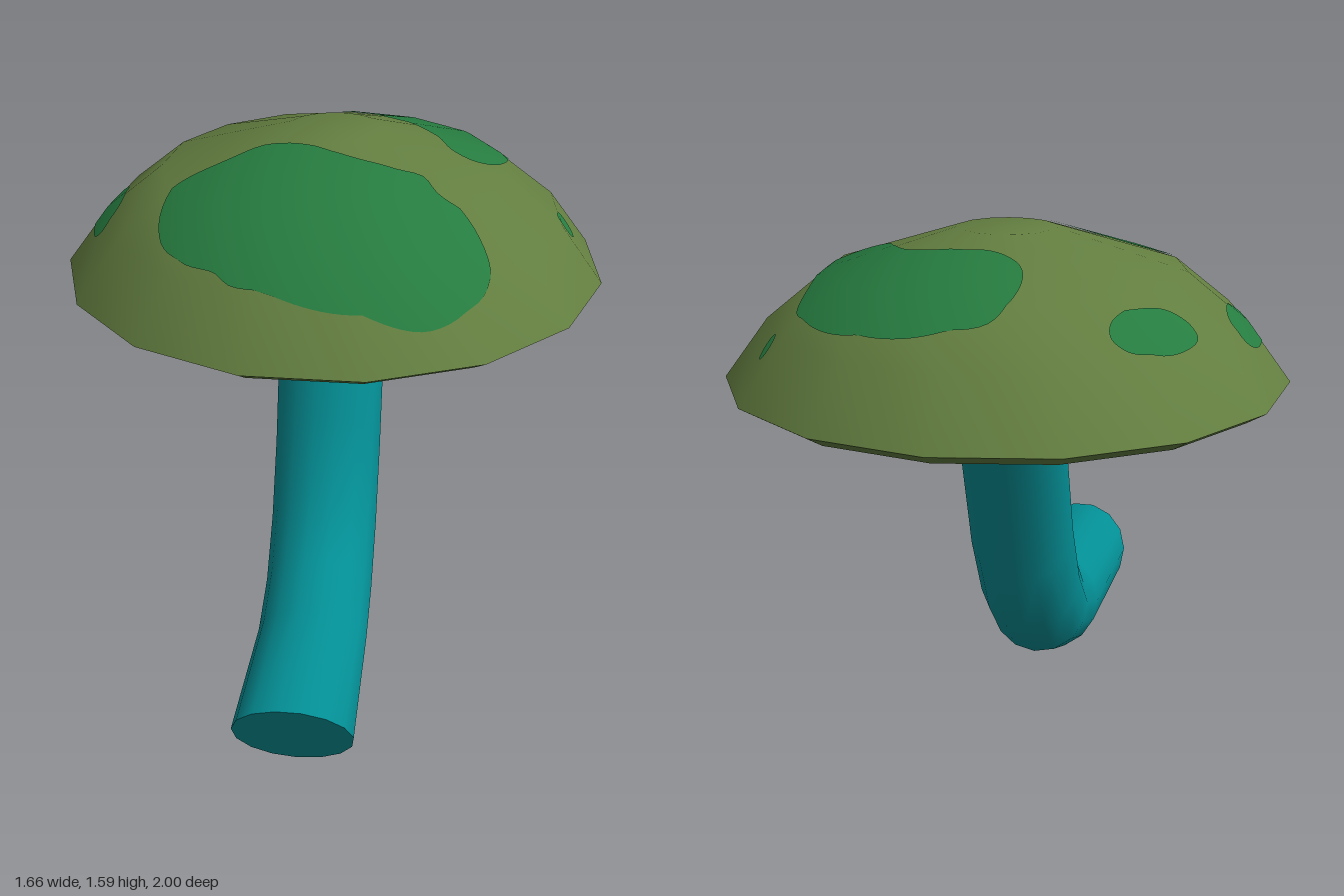
import * as THREE from 'three';

const SIDES = 15, CAP_Z = -0.17;
// Cap profiles as [radius, height], rim to centre
const DOME = [[0.833, 1.155], [0.702, 1.33], [0.527, 1.47], [0.145, 1.59], [0, 1.59]];
const UNDER = [[0.777, 1.121], [0.42, 1.153], [0, 1.172]];

const mat = (name, color, side = THREE.FrontSide) => {
  const m = new THREE.MeshStandardMaterial({ color, side });
  m.name = name;
  return m;
};

const part = (name, geometry, material) => {
  const m = new THREE.Mesh(geometry, material);
  m.name = name;
  return m;
};

function surface(positions, index) {
  const g = new THREE.BufferGeometry();
  g.setAttribute('position', new THREE.Float32BufferAttribute(positions, 3));
  g.setIndex(index);
  g.computeVertexNormals();
  return g;
}

const lathe = (profile) => new THREE.LatheGeometry(
  profile.map(([r, y]) => new THREE.Vector2(r, y)), SIDES, Math.PI).translate(0, 0, CAP_Z);

// Height of a many-sided cap surface at the point (x, z)
function heightAt(profile, x, z) {
  const dz = z - CAP_Z, step = (2 * Math.PI) / SIDES;
  const a = Math.atan2(x, -dz) + 2 * Math.PI;
  const r = Math.hypot(x, dz) * Math.cos((a % step) - step / 2) / Math.cos(step / 2);
  const i = Math.max(1, profile.findIndex(([pr]) => r >= pr));
  const [r0, y0] = profile[i - 1], [r1, y1] = profile[i];
  return y0 + (y1 - y0) * (r0 - r) / (r0 - r1);
}

// Thin patch draped on a cap surface; a clockwise edge seen from above faces up
function drape(profile, edge, [cx, cz], lift, rings = 20) {
  const n = edge.length;
  const pos = [cx, heightAt(profile, cx, cz) + lift, cz], idx = [];
  for (let k = 1; k <= rings; k++) {
    for (let j = 0; j < n; j++) {
      const x = cx + (edge[j][0] - cx) * k / rings, z = cz + (edge[j][1] - cz) * k / rings;
      pos.push(x, heightAt(profile, x, z) + lift, z);
      const a = 1 + (k - 1) * n + j, b = 1 + (k - 1) * n + (j + 1) % n;
      if (k === 1) idx.push(0, b, a);
      else idx.push(a - n, b - n, b, a - n, b, a);
    }
  }
  return surface(pos, idx);
}

// Spot on the dome with a rounded outline and the dome's own soft shading
function spotGeometry(outline, centre) {
  const curve = new THREE.CatmullRomCurve3(
    outline.map(([x, z]) => new THREE.Vector3(x, 0, z)), true);
  const edge = curve.getSpacedPoints(90).slice(0, 90).map((p) => [p.x, p.z]);
  const g = drape(DOME, edge, centre, 0.0045);
  const p = g.attributes.position, normal = new THREE.Vector3();
  for (let i = 0; i < p.count; i++) {
    normal.fromBufferAttribute(p, i).sub(new THREE.Vector3(0, 0.58, CAP_Z)).normalize();
    g.attributes.normal.setXYZ(i, normal.x, normal.y, normal.z);
  }
  return g;
}

const ellipse = (cx, cz, rx, rz) => Array.from({ length: 12 }, (_, i) => {
  const a = i * Math.PI / 6;
  return [cx + rx * Math.cos(a), cz + rz * Math.sin(a)];
});

// Bent stalk: each section is [inner z, inner y, outer z, outer y, half width]
function stalkGeometry(sections, n = 15) {
  const pos = [], idx = [];
  const point = ([iz, iy, oz, oy, w], j) => {
    const a = (j % n) * 2 * Math.PI / n, c = Math.cos(a) / 2;
    pos.push(w * Math.sin(a), (iy + oy) / 2 + (oy - iy) * c, (iz + oz) / 2 + (oz - iz) * c);
  };
  sections.forEach((s, i) => {
    for (let j = 0; j < n; j++) {
      point(s, j);
      if (i === sections.length - 1) continue;
      const a = i * n + j, b = i * n + (j + 1) % n;
      idx.push(a, a + n, b, b, a + n, b + n);
    }
  });
  // Slanted cut end
  const base = pos.length / 3, [iz, iy, oz, oy] = sections[0];
  pos.push(0, (iy + oy) / 2, (iz + oz) / 2);
  for (let j = 0; j < n; j++) {
    point(sections[0], j);
    idx.push(base, base + 1 + j, base + 1 + (j + 1) % n);
  }
  return surface(pos, idx);
}

// Ragged starburst of gills: spikes as [degrees, length]
function gillGeometry() {
  const spikes = [[1, 0.69], [11, 0.5], [21, 0.6], [30, 0.5], [40, 0.66], [53, 0.48], [65, 0.51],
    [75, 0.5], [85, 0.64], [98, 0.48], [112, 0.5], [123, 0.48], [135, 0.65], [145, 0.49],
    [155, 0.55], [166, 0.5], [177, 0.69], [192, 0.5], [207, 0.66], [222, 0.6], [237, 0.52],
    [248, 0.48], [260, 0.58], [272, 0.48], [283, 0.53], [295, 0.47], [306, 0.56], [316, 0.57],
    [328, 0.48], [340, 0.47], [351, 0.46]];
  const edge = [];
  const add = (deg, r) => {
    const a = deg * Math.PI / 180, u = r * Math.cos(a), v = r * Math.sin(a);
    edge.push([-0.766 * u + 0.643 * v, CAP_Z - 0.643 * u - 0.766 * v]);
  };
  spikes.forEach(([deg, len], i) => {
    const next = i + 1 < spikes.length ? spikes[i + 1][0] : spikes[0][0] + 360;
    add(deg - 1.2, len);
    add(deg + 1.2, len);
    add((deg + next) / 2, i % 2 ? 0.42 : 0.38);
  });
  return drape(UNDER, edge.reverse(), [0, CAP_Z], -0.004, 10);
}

export function createModel() {
  const olive = mat('olive cap', 0x637e40);
  const green = mat('green spots', 0x267c40);
  const teal = mat('teal stalk', 0x038f95);
  const navy = mat('dark underside', 0x002a39);
  const pale = mat('pale gills', 0x69ccd0);

  const model = new THREE.Group();
  model.name = 'mushroom';

  // Cap with a shallow hollow underneath
  const cap = new THREE.Group();
  cap.name = 'cap';
  cap.add(part('dome', lathe(DOME), olive));
  cap.add(part('rim', lathe([UNDER[0], DOME[0]]), olive));
  cap.add(part('underside', lathe([...UNDER].reverse()), navy));
  cap.add(part('gills', gillGeometry(), pale));

  // Spots
  const spots = [
    ['frontSpot', [0, 0.26], [[-0.47, 0.15], [-0.42, 0.06], [-0.3, -0.01], [-0.2, -0.05],
      [-0.08, -0.02], [0.05, 0.03], [0.2, 0.05], [0.28, 0.05], [0.33, 0.12], [0.44, 0.2],
      [0.49, 0.3], [0.45, 0.41], [0.33, 0.505], [0.15, 0.54], [-0.05, 0.525], [-0.22, 0.475],
      [-0.27, 0.43], [-0.37, 0.38], [-0.45, 0.28]]],
    ['backSpot', [0.28, -0.52], [[-0.14, -0.6], [-0.1, -0.72], [0.05, -0.77], [0.25, -0.75],
      [0.42, -0.65], [0.52, -0.52], [0.53, -0.38], [0.5, -0.2], [0.43, -0.15], [0.36, -0.18],
      [0.31, -0.27], [0.23, -0.36], [0.1, -0.4], [-0.05, -0.42], [-0.12, -0.48]]],
    ['backRightSpot', [-0.49, -0.54], [[-0.6, -0.44], [-0.58, -0.52], [-0.52, -0.61],
      [-0.45, -0.65], [-0.4, -0.64], [-0.39, -0.6], [-0.44, -0.51], [-0.51, -0.43],
      [-0.57, -0.415]]],
    ['rightSpot', [-0.69, -0.11], ellipse(-0.69, -0.11, 0.052, 0.127)],
    ['leftSpot', [0.71, -0.165], ellipse(0.71, -0.165, 0.027, 0.064)],
    ['backLeftSpot', [0.585, -0.585], ellipse(0.585, -0.585, 0.024, 0.027)],
  ];
  for (const [name, centre, outline] of spots) {
    cap.add(part(name, spotGeometry(outline, centre), green));
  }
  model.add(cap);

  // Stalk
  model.add(part('stalk', stalkGeometry([
    [1.0, 0.312, 0.827, 0, 0.176],
    [0.515, 0.295, 0.352, 0, 0.169],
    [0.34, 0.36, 0.18, 0.067, 0.168],
    [0.2, 0.51, 0.035, 0.217, 0.168],
    [0.085, 0.73, -0.08, 0.43, 0.168],
    [-0.075, 1.2, -0.332, 1.2, 0.168],
  ]), teal));
  return model;
}
